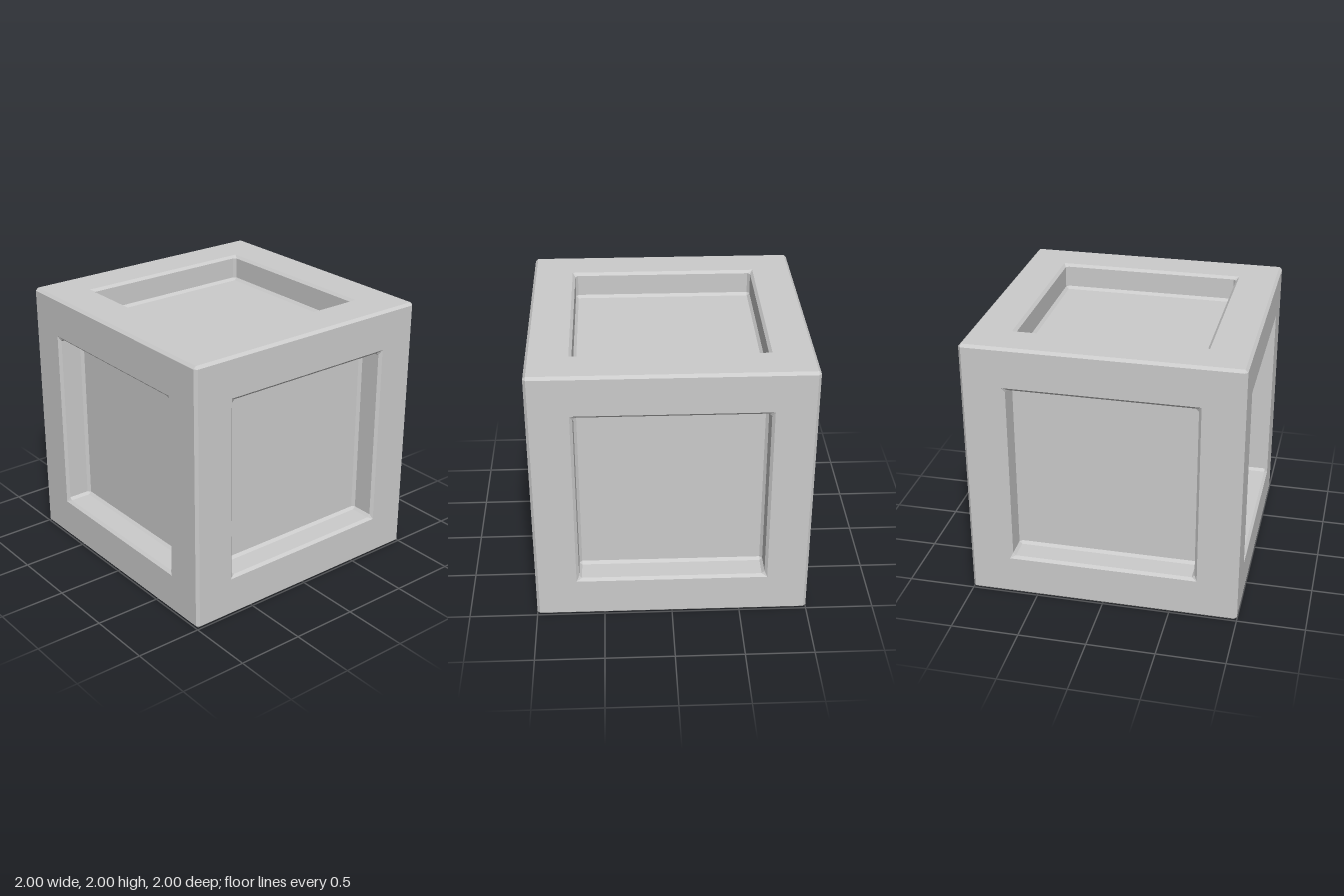
import * as THREE from 'three';

const material = new THREE.MeshStandardMaterial({ color: 0xcccccc, flatShading: true });
const BEVEL = 0.02;
const INNER = 1 - BEVEL;

// Geometry from triangles, each a list of three Vector3; zero-area ones are dropped
function fromTriangles(triangles) {
  const solid = triangles.filter((t) => new THREE.Triangle(...t).getArea() > 1e-8);
  const geometry = new THREE.BufferGeometry().setFromPoints(solid.flat());
  geometry.computeVertexNormals();
  return geometry;
}

// Eight-point square ring at height z, its corners cut between (a, b) and (b, a)
function ring([a, b, z]) {
  const points = [];
  for (let q = 0; q < 4; q++) {
    for (const [x, y] of [[a, b], [b, a]]) {
      const p = new THREE.Vector3(x, y, z);
      for (let r = 0; r < q; r++) p.set(-p.y, p.x, z);
      points.push(p);
    }
  }
  return points;
}

// One side of the cube: flat frame, bevelled rim, recess walls, bevelled floor
function panelGeometry() {
  const rings = [
    [INNER, INNER, 1],
    [0.70, 0.70, 1],
    [0.68, 0.66, 0.98],
    [0.68, 0.66, 0.82],
    [0.66, 0.66, 0.80],
  ].map(ring);
  const triangles = [];
  for (let k = 0; k < rings.length - 1; k++) {
    const o = rings[k], n = rings[k + 1];
    for (let i = 0; i < 8; i++) {
      const j = (i + 1) % 8;
      triangles.push([o[i], o[j], n[j]], [o[i], n[j], n[i]]);
    }
  }
  const f = rings[rings.length - 1];
  triangles.push([f[0], f[2], f[4]], [f[0], f[4], f[6]]);
  return fromTriangles(triangles);
}

// Chamfers along the twelve outer edges and the eight corners
function bevelGeometry() {
  const triangles = [];
  const addOutward = (a, b, c) => {
    const normal = new THREE.Triangle(a, b, c).getNormal(new THREE.Vector3());
    triangles.push(normal.dot(a) > 0 ? [a, b, c] : [a, c, b]);
  };
  const point = (axes, values) => {
    const p = new THREE.Vector3();
    axes.forEach((axis, i) => p.setComponent(axis, values[i]));
    return p;
  };
  for (const s of [-1, 1]) {
    for (const t of [-1, 1]) {
      for (const axes of [[0, 1, 2], [1, 2, 0], [2, 0, 1]]) {
        const a = point(axes, [s, t * INNER, -INNER]);
        const b = point(axes, [s, t * INNER, INNER]);
        const c = point(axes, [s * INNER, t, INNER]);
        const d = point(axes, [s * INNER, t, -INNER]);
        addOutward(a, b, c);
        addOutward(a, c, d);
      }
      for (const u of [-1, 1]) {
        addOutward(
          new THREE.Vector3(s, t * INNER, u * INNER),
          new THREE.Vector3(s * INNER, t, u * INNER),
          new THREE.Vector3(s * INNER, t * INNER, u)
        );
      }
    }
  }
  return fromTriangles(triangles);
}

export function createModel() {
  const model = new THREE.Group();
  model.name = 'recessedCube';

  // Six identical recessed sides
  const panel = panelGeometry();
  const sides = {
    frontPanel: [0, 0],
    leftPanel: [0, Math.PI / 2],
    backPanel: [0, Math.PI],
    rightPanel: [0, -Math.PI / 2],
    topPanel: [-Math.PI / 2, 0],
    bottomPanel: [Math.PI / 2, 0],
  };
  for (const [name, [rx, ry]] of Object.entries(sides)) {
    const mesh = new THREE.Mesh(panel, material);
    mesh.name = name;
    mesh.rotation.set(rx, ry, 0);
    mesh.position.y = 1;
    model.add(mesh);
  }

  // Outer edge chamfers
  const bevels = new THREE.Mesh(bevelGeometry(), material);
  bevels.name = 'edgeBevels';
  bevels.position.y = 1;
  model.add(bevels);

  return model;
}
